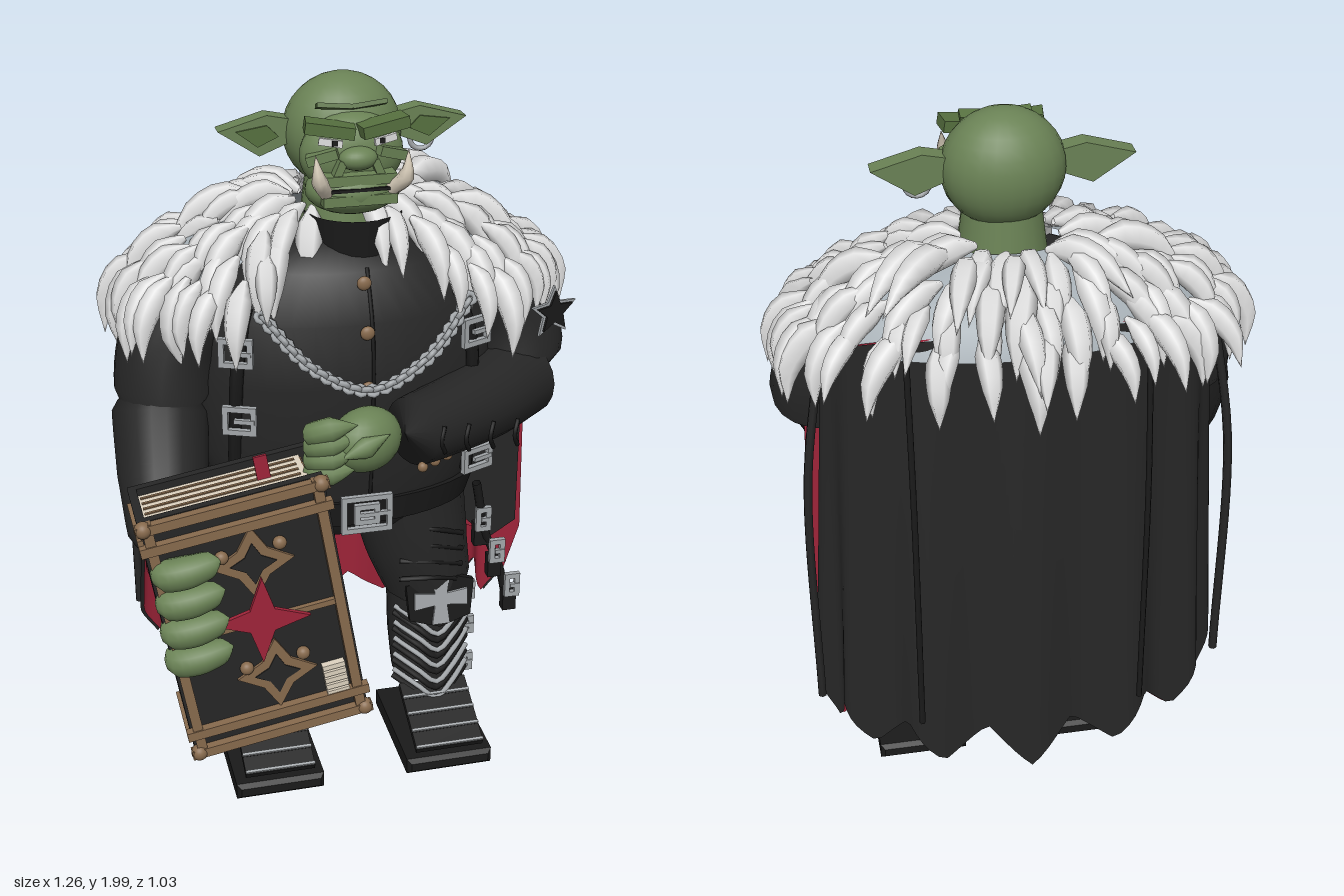
import * as THREE from 'three';
import { mergeGeometries } from 'three/addons/utils/BufferGeometryUtils.js';

const V = (a) => new THREE.Vector3(...a);

// Tube along points with a radius for every point; zero radii close the ends
function sweepGeo(pts, radii, n = 16, m = 12) {
  const curve = new THREE.CatmullRomCurve3(pts.map(V));
  const g = new THREE.TubeGeometry(curve, n, 1, m), p = g.attributes.position, v = new THREE.Vector3();
  for (let i = 0; i < p.count; i++) {
    const u = Math.floor(i / (m + 1)) / n, c = curve.getPointAt(u);
    const f = curve.getUtoTmapping(u) * (radii.length - 1), k = Math.min(Math.floor(f), radii.length - 2);
    const r = THREE.MathUtils.lerp(radii[k], radii[k + 1], f - k);
    v.fromBufferAttribute(p, i).sub(c).multiplyScalar(r).add(c);
    p.setXYZ(i, v.x, v.y, v.z);
  }
  return g;
}
const polygon = (pts) => new THREE.Shape(pts.map((p) => new THREE.Vector2(...p)));
const extrude = (shape, depth) => new THREE.ExtrudeGeometry(shape, { depth, bevelEnabled: false });
function starShape(r, inner, tips = 4) {
  return polygon(Array.from({ length: tips * 2 }, (_, i) => {
    const a = Math.PI / 2 + i * Math.PI / tips, q = i % 2 ? inner : r;
    return [Math.cos(a) * q, Math.sin(a) * q];
  }));
}
// Cross with flared arms
function crossShape(r, flare, waist) {
  const pts = [];
  for (let i = 0; i < 4; i++) {
    const c = Math.round(Math.cos(i * Math.PI / 2)), s = Math.round(Math.sin(i * Math.PI / 2));
    for (const [x, y] of [[waist, -waist], [r, -flare], [r, flare]]) pts.push([x * c - y * s, x * s + y * c]);
  }
  return polygon(pts);
}
function rectShape(w, h) { return polygon([[-w, -h], [w, -h], [w, h], [-w, h]].map(([x, y]) => [x / 2, y / 2])); }

export function createModel() {
  const root = new THREE.Group();
  const mat = (name, color) => Object.assign(new THREE.MeshStandardMaterial({ color, side: THREE.DoubleSide }), { name });
  const black = mat('black cloth', 0x262626), sole = mat('sole black', 0x1a1a1a), green = mat('green skin', 0x6a8255);
  const darkGreen = mat('dark green skin', 0x56703f), red = mat('red lining', 0x9f2439), white = mat('white fur', 0xe0e0e0);
  const under = mat('grey fur base', 0xa4adb3), brown = mat('bronze trim', 0x876a4d), metal = mat('grey metal', 0xa3a7aa);
  const cream = mat('cream', 0xddd2bf);

  function add(name, geo, m, pos = [0, 0, 0], rot = [0, 0, 0], parent = root, scale = [1, 1, 1]) {
    const mesh = new THREE.Mesh(geo, m);
    mesh.name = name;
    mesh.position.set(...pos); mesh.rotation.set(...rot); mesh.scale.set(...scale);
    parent.add(mesh);
    return mesh;
  }
  const box = (name, m, size, pos, rot, parent) => add(name, new THREE.BoxGeometry(...size), m, pos, rot, parent);
  const ball = (name, m, size, pos, rot, parent) => add(name, new THREE.SphereGeometry(1, 24, 16), m, pos, rot, parent, size);
  const sweep = (name, m, pts, radii, n, s) => add(name, sweepGeo(pts, radii, n, s), m);
  const wire = (name, m, pts, r, parent) =>
    add(name, new THREE.TubeGeometry(new THREE.CatmullRomCurve3(pts.map(V)), 16, r, 6), m, undefined, undefined, parent);
  function buckle(x, y, z, w, h, ry = 0) {
    const s = rectShape(w, h);
    s.holes.push(rectShape(w - 0.03, h - 0.03));
    const b = add('buckle', extrude(s, 0.015), metal, [x, y, z], [0, ry, 0]);
    box('bucklePin', metal, [w * 0.6, 0.012, 0.012], [w * 0.15, 0, 0.012], undefined, b);
  }

  // Torso, collar, belt
  const profile = [[0, 0.74], [0.22, 0.77], [0.32, 0.84], [0.36, 0.92], [0.4, 1.05], [0.41, 1.25], [0.38, 1.42], [0.27, 1.54], [0.13, 1.6], [0, 1.61]];
  add('torso', new THREE.LatheGeometry(profile.map((p) => new THREE.Vector2(...p)), 40), black, [0, 0, -0.01], undefined, root, [1, 1, 0.5]);
  add('collar', new THREE.CylinderGeometry(0.13, 0.12, 0.13, 24, 1, true), sole, [0.03, 1.6, -0.03]);
  add('belt', new THREE.CylinderGeometry(0.375, 0.35, 0.075, 40), sole, [0, 0.87, -0.01], undefined, root, [1, 1, 0.5]);
  buckle(0.015, 0.88, 0.185, 0.14, 0.11);
  buckle(0.015, 0.88, 0.187, 0.07, 0.06);
  for (const [y, z] of [[1.52, 0.15], [1.4, 0.19], [1.25, 0.2]]) ball('coatButton', brown, [0.019, 0.019, 0.012], [0.015, y, z]);
  wire('coatSeam', sole, [[0.03, 1.55, 0.12], [0.03, 1.4, 0.185], [0.03, 1.2, 0.197], [0.03, 0.93, 0.172]], 0.005);

  // Straps with buckles
  for (const s of [-1, 1]) {
    wire('chestStrap', sole, [[s * 0.28, 1.46, 0.1], [s * 0.31, 1.33, 0.13], [s * 0.32, 1.15, 0.12], [s * 0.32, 0.93, 0.09]], 0.018);
    buckle(s * 0.315, 1.36, 0.14, 0.09, 0.08, s * 0.4);
  }
  buckle(-0.31, 1.17, 0.14, 0.09, 0.08, -0.4);
  buckle(0.34, 0.97, 0.11, 0.1, 0.07, 0.4);

  // Chest chain of small links
  const chain = new THREE.CatmullRomCurve3([[-0.25, 1.45, 0.14], [-0.13, 1.32, 0.205], [0.02, 1.25, 0.215], [0.17, 1.32, 0.205], [0.3, 1.45, 0.14]].map(V));
  const links = [], dummy = new THREE.Object3D();
  for (let i = 0; i <= 44; i++) {
    dummy.position.copy(chain.getPointAt(i / 44));
    dummy.lookAt(dummy.position.clone().add(chain.getTangentAt(i / 44)));
    dummy.rotateZ(i % 2 ? 0.8 : -0.8); dummy.rotateY(Math.PI / 2); dummy.updateMatrix();
    links.push(new THREE.TorusGeometry(0.013, 0.008, 6, 8).applyMatrix4(dummy.matrix));
  }
  add('chestChain', mergeGeometries(links), metal);

  // Head, ears and face
  add('neck', new THREE.CylinderGeometry(0.1, 0.12, 0.16, 20), green, [0.015, 1.66, -0.08]);
  ball('head', green, [0.155, 0.15, 0.125], [0.015, 1.85, -0.095]);
  ball('jaw', green, [0.125, 0.065, 0.085], [0.015, 1.735, 0.03]);
  ball('muzzle', green, [0.135, 0.105, 0.07], [0.015, 1.82, 0.01]);
  const face = new THREE.Group(); face.name = 'face'; face.position.set(0.015, 0, 0); root.add(face);
  for (const s of [-1, 1]) {
    const ear = polygon([[0.12, 1.84], [0.13, 1.89], [0.2, 1.905], [0.325, 1.87], [0.22, 1.8]]);
    add('ear', extrude(ear, 0.05), green, [0, 0, -0.12], undefined, face, [s, 1, 1]);
    const inner = polygon([[0.17, 1.85], [0.2, 1.88], [0.28, 1.868], [0.225, 1.825]]);
    add('innerEar', extrude(inner, 0.006), darkGreen, [0, 0, -0.071], undefined, face, [s, 1, 1]);
    box('brow', darkGreen, [0.125, 0.03, 0.06], [s * 0.068, 1.9, 0.06], [0, s * 0.15, s * 0.15], face);
    box('eye', white, [0.06, 0.018, 0.009], [s * 0.07, 1.87, 0.082], [0, s * 0.2, s * 0.15], face);
    box('pupil', sole, [0.015, 0.014, 0.008], [s * 0.06, 1.869, 0.086], undefined, face);
    box('cheekFold', green, [0.08, 0.025, 0.055], [s * 0.085, 1.832, 0.06], [0, s * 0.3, -s * 0.3], face);
    box('nostrilFold', green, [0.02, 0.05, 0.03], [s * 0.05, 1.8, 0.085], [0, 0, s * 0.4], face);
    box('foreheadCrease', darkGreen, [0.09, 0.012, 0.03], [s * 0.045, 1.94, 0.01], [-0.4, 0, s * 0.1], face);
    add('tusk', sweepGeo([[s * 0.085, 1.745, 0.095], [s * 0.11, 1.79, 0.135], [s * 0.118, 1.855, 0.125]], [0.018, 0.021, 0], 8, 8), cream, undefined, undefined, face);
  }
  ball('nose', green, [0.05, 0.03, 0.035], [0, 1.825, 0.08], undefined, face);
  for (const [y, w, z] of [[1.775, 0.19, 0.08], [1.725, 0.19, 0.088]]) box('lip', green, [w, 0.026, 0.05], [0, y, z], undefined, face);
  box('mouth', sole, [0.17, 0.008, 0.008], [0, 1.752, 0.109], undefined, face);
  add('earring', new THREE.TorusGeometry(0.03, 0.007, 6, 16), metal, [0.225, 1.815, -0.09]);

  // Fur mantle: base shell and rows of curved tufts, open at the front
  const shell = [[0.53, 1.48], [0.47, 1.55], [0.34, 1.61], [0.14, 1.66]].map((p) => new THREE.Vector2(...p));
  add('mantleBase', new THREE.LatheGeometry(shell, 40, 0.7, Math.PI * 2 - 1.4), under, [0, 0, -0.12], undefined, root, [1, 1, 0.53]);
  let seed = 7;
  const rnd = () => (seed = (seed * 16807) % 2147483647) / 2147483647 - 0.5;
  const tuft = sweepGeo([[0, 0, 0], [0, 0.025, 0.06], [0, 0.02, 0.13], [0, -0.03, 0.21]], [0.008, 0.034, 0.027, 0], 8, 6), tufts = [];
  for (const [t, count] of [[0, 14], [0.25, 19], [0.5, 25], [0.75, 32], [1, 40]]) {
    const open = 0.28 + 0.14 * t;
    for (let i = 0; i < count; i++) {
      const a = open + (i + 0.5 + rnd() * 0.5) / count * (Math.PI * 2 - open * 2), x = Math.sin(a), z = Math.cos(a);
      // The front corners are squarer than the back
      const px = z > 0 ? Math.sign(x) * Math.abs(x) ** 0.7 : x, pz = z > 0 ? z ** 0.7 : z;
      dummy.position.set(px * (0.12 + 0.38 * t), 1.675 - 0.14 * t * t + rnd() * 0.03, -0.12 + pz * (0.09 + (z > 0 ? 0.18 : 0.16) * t));
      const drop = 0.2 + 0.75 * t + Math.max(0, z) * 0.9 + Math.abs(x) * 0.4 * t + rnd() * 0.5;
      dummy.lookAt(dummy.position.x + x + rnd() * 0.7, dummy.position.y - drop, dummy.position.z + z + rnd() * 0.7);
      dummy.scale.setScalar(1.03 + rnd() * 0.35); dummy.updateMatrix();
      tufts.push(tuft.clone().applyMatrix4(dummy.matrix));
    }
  }
  add('furTufts', mergeGeometries(tufts), white);

  // Cape with folds and a ragged hem, plus its lining
  function capeGeo(inset) {
    const g = new THREE.PlaneGeometry(1, 1, 72, 14), p = g.attributes.position;
    for (let i = 0; i < p.count; i++) {
      const u = p.getX(i) * 2, v = 0.5 - p.getY(i), a = u * Math.PI / 2;
      const fold = 0.018 * Math.cos(a * 12) * (0.2 + v), saw = Math.abs(((u + 1) * 3.5) % 1 - 0.5) * 2;
      const hem = 0.21 + 0.11 * saw + 0.1 * Math.abs(u), r = 0.49 + fold - inset;
      const top = 1.54 - 0.08 * u * u;
      p.setXYZ(i, Math.sin(a) * (r + 0.05 * v), THREE.MathUtils.lerp(top, hem, v), -0.22 - Math.cos(a) * (0.15 + 0.08 * v + fold - inset));
    }
    g.computeVertexNormals();
    return g;
  }
  add('cape', capeGeo(0), black);
  add('capeLining', capeGeo(0.01), red);
  for (const s of [-1, 1]) {
    wire('capeCord', sole, [[s * 0.3, 1.5, -0.37], [s * 0.3, 1.1, -0.425], [s * 0.3, 0.4, -0.45]], 0.008);
    wire('capeEdge', black, [[s * 0.5, 1.45, -0.25], [s * 0.55, 1.1, -0.28], [s * 0.555, 0.4, -0.29]], 0.012);
    // Coat tails
    const tail = polygon([[0.36, 1.17], [0.54, 1.17], [0.55, 0.62], [0.5, 0.46], [0.46, 0.6], [0.36, 0.66]]);
    add('coatTailLining', extrude(tail, 0.012), red, [0, 0, -0.1], undefined, root, [s, 1, 1]);
    const front = polygon([[0.33, 1.12], [0.53, 1.12], [0.53, 0.65], [0.45, 0.6], [0.37, 0.68]]);
    add('coatTail', extrude(front, 0.012), black, [0, 0, -0.085], undefined, root, [s, 1, 1]);
  }

  // Legs, knee plates, greaves and shoes
  for (const s of [-1, 1]) {
    const shift = s > 0 ? 0 : 0.03;
    const leg = new THREE.Group(); leg.name = s > 0 ? 'leftLeg' : 'rightLeg'; leg.scale.x = s; leg.position.x = shift; root.add(leg);
    const part = (name, m, pts, r) => add(name, sweepGeo(pts, r, 20, 20), m, undefined, undefined, leg);
    part('thigh', black, [[0.18, 0.9, -0.05], [0.19, 0.82, -0.05], [0.22, 0.66, -0.05], [0.26, 0.5, -0.06], [0.265, 0.42, -0.07]], [0, 0.165, 0.15, 0.125, 0]);
    part('boot', black, [[0.265, 0.52, -0.07], [0.265, 0.48, -0.07], [0.265, 0.33, -0.07], [0.265, 0.19, -0.07], [0.265, 0.16, -0.07]], [0, 0.12, 0.115, 0.1, 0]);
    for (let i = 0; i < 4; i++) wire('thighCrease', sole, [[0.14, 0.77 - i * 0.06, 0.08], [0.24, 0.75 - i * 0.055, 0.1 - i * 0.005], [0.33, 0.7 - i * 0.05, 0.05]], 0.008, leg);
    add('kneePlate', extrude(polygon([[-0.1, 0.06], [-0.09, -0.05], [0, -0.08], [0.09, -0.05], [0.1, 0.06], [0, 0.09]]), 0.02), sole, [0.265, 0.49, 0.05], [-0.1, 0, 0], leg);
    add('kneeEmblem', extrude(crossShape(0.078, 0.026, 0.018), 0.008), metal, [0.265, 0.505, 0.072], [-0.1, 0, 0], leg);
    for (let i = 0; i < 5; i++) {
      const y = 0.4 - i * 0.055;
      const v = [[-0.11, y + 0.04, -0.02], [-0.05, y + 0.01, 0.04], [0, y - 0.025, 0.058], [0.05, y + 0.01, 0.04], [0.11, y + 0.04, -0.02]];
      wire('greaveBand', metal, v.map(([x, b, z]) => [x + 0.265, b, z]), 0.008, leg);
      wire('greavePlate', sole, v.map(([x, b, z]) => [x + 0.265, b - 0.025, z - 0.008]), 0.01, leg);
    }
    for (let i = 0; i < 4; i++) {
      box('footPlate', sole, [0.2, 0.02, 0.055], [0.265, 0.165 - i * 0.024, 0.03 + i * 0.05], [0.45, 0, 0], leg);
      box('footBand', metal, [0.2, 0.007, 0.008], [0.265, 0.168 - i * 0.024, 0.056 + i * 0.05], [0.45, 0, 0], leg);
    }
    const b = { depth: 0.36, bevelSize: 0.012, bevelThickness: 0.012, bevelSegments: 1 };
    add('shoeSole', new THREE.ExtrudeGeometry(rectShape(0.23, 0.025), b), sole, [0.265, 0.03, -0.158], undefined, leg);
    for (const y of [0.2, 0.33, 0.45]) buckle(s * 0.385 + shift, y, -0.05, 0.038, 0.06);
  }

  // Hanging charms at the left hip
  wire('hipCord', sole, [[0.37, 0.85, 0.04], [0.41, 0.67, 0.02], [0.46, 0.55, 0], [0.49, 0.42, 0]], 0.013);
  for (const [x, y] of [[0.395, 0.73], [0.44, 0.62], [0.49, 0.5]]) {
    buckle(x, y, 0.03, 0.045, 0.075);
    box('charm', sole, [0.04, 0.07, 0.03], [x, y - 0.06, 0.01]);
  }

  // Left arm folded across, hand above the book
  sweep('leftUpperArm', black, [[0.28, 1.48, -0.05], [0.38, 1.43, -0.05], [0.455, 1.33, -0.05], [0.48, 1.22, -0.03], [0.46, 1.1, 0]], [0, 0.12, 0.14, 0.14, 0], 20, 20);
  sweep('leftForearm', black, [[0.56, 1.17, -0.05], [0.49, 1.16, 0], [0.36, 1.15, 0.11], [0.22, 1.15, 0.21], [0.1, 1.155, 0.285], [0.09, 1.155, 0.29]], [0, 0.125, 0.115, 0.1, 0.09, 0], 24, 20);
  for (let i = 0; i < 4; i++) {
    wire('sleeveCrease', sole, [[0.18 + i * 0.065, 1.19, 0.34], [0.17 + i * 0.065, 1.15, 0.35], [0.185 + i * 0.065, 1.11, 0.33]], 0.006);
    if (i < 3) ball('cuffButton', brown, [0.014, 0.014, 0.012], [0.13 + i * 0.04, 1.07, 0.32 - i * 0.025]);
  }
  add('shoulderStarRim', extrude(starShape(0.075, 0.035, 5), 0.008), metal, [0.545, 1.37, 0.09], [0, 0.3, 0]);
  add('shoulderStar', extrude(starShape(0.06, 0.027, 5), 0.008), sole, [0.548, 1.37, 0.096], [0, 0.3, 0]);
  ball('leftPalm', green, [0.1, 0.085, 0.075], [-0.02, 1.165, 0.315], [0, 0.4, 0]);
  for (let i = 0; i < 4; i++)
    sweep('leftFinger', green, [[-0.05, 1.23 - i * 0.04, 0.36], [-0.12, 1.23 - i * 0.04, 0.37], [-0.165, 1.21 - i * 0.035, 0.345], [-0.15, 1.19 - i * 0.035, 0.3]], [0, 0.033, 0.031, 0], 10, 10);
  sweep('leftThumb', green, [[0.03, 1.2, 0.37], [-0.04, 1.18, 0.39], [-0.1, 1.15, 0.385]], [0, 0.03, 0], 10, 10);

  // Right arm reaching down around the book
  sweep('rightUpperArm', black, [[-0.28, 1.48, -0.05], [-0.38, 1.43, -0.05], [-0.455, 1.33, -0.04], [-0.48, 1.2, -0.02], [-0.47, 1.06, 0]], [0, 0.12, 0.138, 0.135, 0], 20, 20);
  sweep('rightForearm', black, [[-0.48, 1.24, -0.04], [-0.495, 1.16, -0.01], [-0.51, 1.0, 0.08], [-0.53, 0.87, 0.18], [-0.535, 0.83, 0.23]], [0, 0.13, 0.12, 0.09, 0], 20, 20);
  for (let i = 0; i < 4; i++) {
    const x = i * 0.008, y = 0.93 - i * 0.085;
    sweep('rightFinger', green, [[-0.58 + x, y - 0.01, 0.4], [-0.56 + x, y - 0.01, 0.45], [-0.51 + x, y, 0.465], [-0.45 + x, y + 0.01, 0.457], [-0.42 + x, y + 0.01, 0.445]], [0.01, 0.042, 0.043, 0.034, 0], 14, 12);
  }

  // Book
  const book = new THREE.Group(); book.name = 'book';
  book.position.set(-0.33, 0.745, 0.335); book.rotation.z = 0.166; root.add(book);
  for (const z of [-0.085, 0.085]) box('cover', black, [0.47, 0.72, 0.022], [0, 0, z], undefined, book);
  box('spine', black, [0.022, 0.72, 0.17], [-0.225, 0, 0], undefined, book);
  box('pages', cream, [0.42, 0.68, 0.148], [-0.005, 0, 0], undefined, book);
  for (let i = 0; i < 5; i++) {
    box('pageLine', brown, [0.006, 0.68, 0.008], [0.206, 0, -0.055 + i * 0.027], undefined, book);
    box('pageTopLine', brown, [0.4, 0.006, 0.008], [-0.01, 0.34, -0.055 + i * 0.027], undefined, book);
  }
  for (const s of [-1, 1]) {
    box('frameSide', brown, [0.026, 0.72, 0.022], [s * 0.215, 0, 0.105], undefined, book);
    for (const y of [0.345, 0.285]) box('frameBar', brown, [0.49, 0.026, 0.025], [0, s * y, 0.107], undefined, book);
    for (const x of [-0.225, 0.225]) ball('frameCorner', brown, [0.022, 0.022, 0.022], [x, s * 0.345, 0.107], undefined, book);
    box('spineBand', brown, [0.015, 0.025, 0.2], [-0.238, s * 0.3, 0], undefined, book);
    add('bronzeStar', extrude(starShape(0.105, 0.055), 0.008), brown, [0.02, s * 0.17, 0.097], [0, 0, -0.1], book);
    add('starCentre', extrude(starShape(0.06, 0.03), 0.008), black, [0.02, s * 0.17, 0.1], [0, 0, -0.1], book);
    for (const x of [-0.055, 0.095]) ball('stud', brown, [0.018, 0.018, 0.016], [x, s * 0.17 + 0.04, 0.105], undefined, book);
  }
  box('middleBar', brown, [0.45, 0.016, 0.016], [0, 0, 0.102], undefined, book);
  add('redStar', extrude(starShape(0.125, 0.045), 0.012), red, [0.01, 0.01, 0.112], [0, 0, -0.166], book);
  for (let i = 0; i < 5; i++) box('clasp', cream, [0.06, 0.014, 0.02], [0.165, -0.19 - i * 0.02, 0.107], undefined, book);
  box('bookmark', red, [0.035, 0.07, 0.008], [0.1, 0.37, 0.0], undefined, book);
  return root;
}
